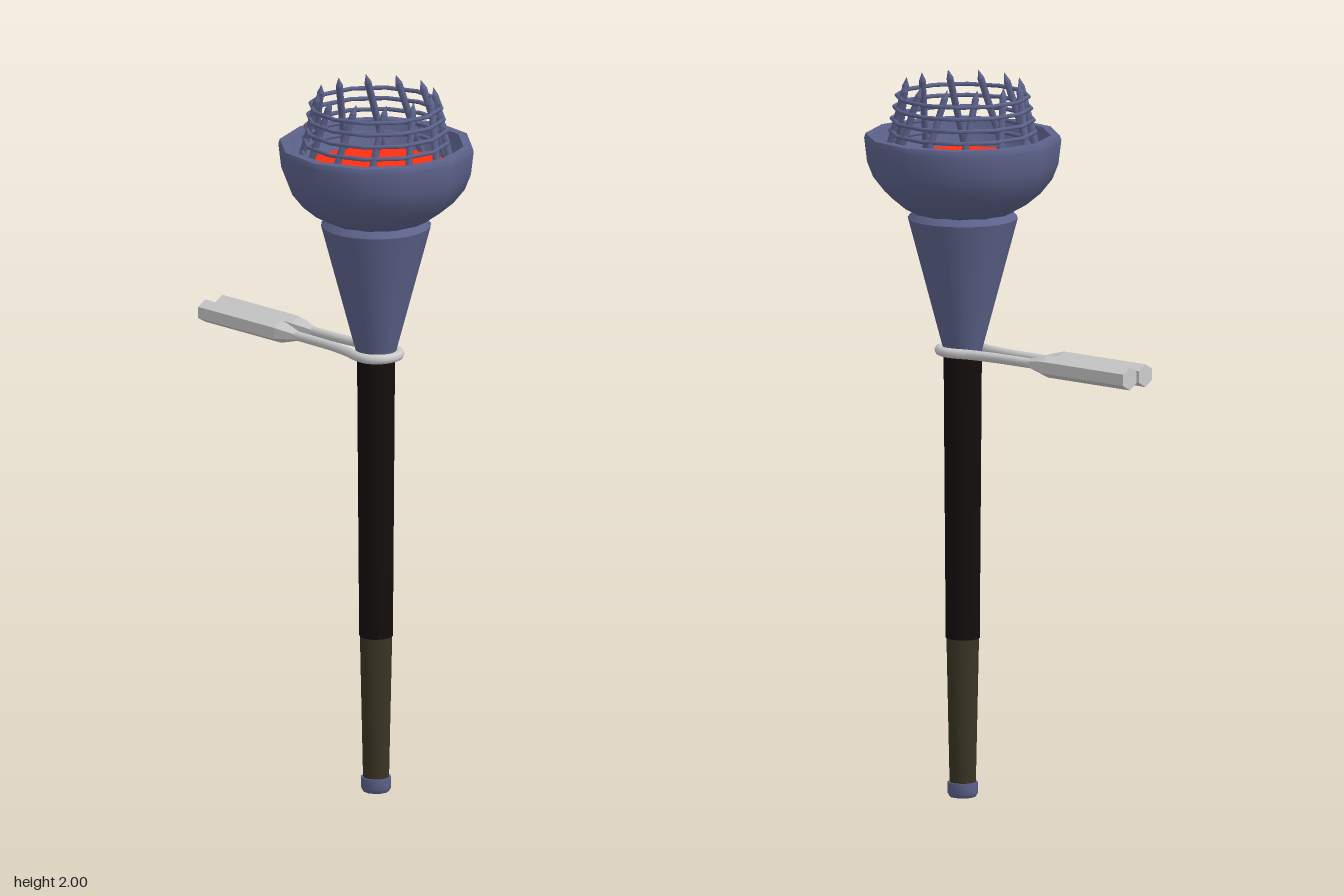
import * as THREE from 'three';
import { toCreasedNormals, mergeGeometries } from 'three/addons/utils/BufferGeometryUtils.js';

const AXIS_Z = 0.18;   // the torch stands forward so that the tongs reach the back
const SIDES = 12;
const TURN = THREE.MathUtils.degToRad(6.5);

const mat = (color, double) => new THREE.MeshStandardMaterial({
  color, side: double ? THREE.DoubleSide : THREE.FrontSide });

export function createModel() {
  const group = new THREE.Group();
  const steel = mat(0x5d638c, true);
  const grey = mat(0xcccccc);

  const add = (name, geo, material, parent = group) => {
    const mesh = new THREE.Mesh(geo, material);
    mesh.name = name;
    parent.add(mesh);
    return mesh;
  };

  // turned part from [radius, height] pairs, sharp at strong angles only
  const turned = (name, profile, material, sides = SIDES) => {
    const points = profile.map(([r, y]) => new THREE.Vector2(r, y));
    const geo = new THREE.LatheGeometry(points, sides, TURN);
    add(name, toCreasedNormals(geo, 0.6), material).position.z = AXIS_Z;
  };

  // handle, from the foot up
  turned('footCap', [[0, 0.005], [0.036, 0.005], [0.042, 0.015], [0.042, 0.046], [0, 0.046]], steel);
  turned('lowerGrip', [[0.036, 0.03], [0.045, 0.45], [0, 0.45]], mat(0x3a3424));
  turned('shaft', [[0, 0.449], [0.047, 0.449], [0.053, 1.26], [0, 1.26]], mat(0x120e0c));

  // head
  turned('neckCone', [[0, 1.25], [0.052, 1.25], [0.152, 1.625], [0.135, 1.645], [0, 1.645]], steel, 24);
  turned('bowl', [[0, 1.635], [0.13, 1.638], [0.175, 1.662], [0.215, 1.695], [0.247, 1.735],
    [0.264, 1.778], [0.272, 1.845], [0.268, 1.858], [0.243, 1.858], [0.222, 1.79], [0.2, 1.76]], steel);
  turned('embers', [[0.222, 1.785], [0.12, 1.792], [0, 1.795]], mat(0xff2f10, true));

  // flame cage: leaning pointed bars
  const cage = new THREE.Group();
  cage.name = 'flameCage';
  cage.position.z = AXIS_Z;
  group.add(cage);
  const up = new THREE.Vector3(0, 1, 0);
  const polar = (r, deg, y) => {
    const a = THREE.MathUtils.degToRad(deg);
    return new THREE.Vector3(r * Math.cos(a), y, r * Math.sin(a));
  };
  const rod = new THREE.CylinderGeometry(0.01, 0.01, 0.2, 6);
  const tip = new THREE.ConeGeometry(0.01, 0.025, 6).translate(0, 0.1125, 0);
  const barGeo = mergeGeometries([rod, tip]);
  for (let i = 0; i < 12; i++) {
    const top = polar(0.165, 7 + i * 30, 1.985);
    const foot = polar(0.212, 21 + i * 30, 1.785);
    const bar = add('cageBar', barGeo, steel, cage);
    const dir = top.clone().sub(foot);
    bar.position.copy(foot).add(top).multiplyScalar(0.5);
    bar.scale.y = dir.length() / 0.2;
    bar.quaternion.setFromUnitVectors(up, dir.normalize());
  }

  // cage hoops, narrowing upwards
  for (const [r, y] of [[0.207, 1.83], [0.201, 1.867], [0.196, 1.9], [0.189, 1.933], [0.182, 1.965]]) {
    const hoop = add('cageHoop', new THREE.TorusGeometry(r, 0.006, 6, SIDES).rotateX(Math.PI / 2), steel, cage);
    hoop.position.y = y;
    hoop.rotation.y = TURN;
  }

  // tongs: one wire bent round the neck, with a faceted grip on each arm
  const tongs = new THREE.Group();
  tongs.name = 'tongs';
  tongs.position.set(0.003, 1.255, 0);
  group.add(tongs);
  const arm = [[0.033, -0.12], [0.033, -0.06], [0.036, 0.04], [0.046, 0.115]];
  const path = arm.map(([x, z]) => new THREE.Vector3(x, 0, z));
  for (let i = 0; i <= 8; i++) {
    const a = -0.35 + (i / 8) * (Math.PI + 0.7);
    path.push(new THREE.Vector3(0.062 * Math.cos(a), 0, AXIS_Z + 0.062 * Math.sin(a)));
  }
  for (const [x, z] of [...arm].reverse()) path.push(new THREE.Vector3(-x, 0, z));
  add('neckClamp', new THREE.TubeGeometry(new THREE.CatmullRomCurve3(path), 80, 0.014, 8), grey, tongs);

  const gripMat = grey.clone();
  gripMat.flatShading = true;
  for (const side of [-1, 1]) {
    const flare = new THREE.CylinderGeometry(0.012, 0.032, 0.07, 6, 1, true).rotateX(Math.PI / 2).translate(0, 0, -0.125);
    const grip = new THREE.CylinderGeometry(0.032, 0.032, 0.296, 6).rotateX(Math.PI / 2).translate(0, 0, -0.308);
    add('tongGrip', mergeGeometries([flare, grip]), gripMat, tongs).position.x = side * 0.033;
  }
  return group;
}
